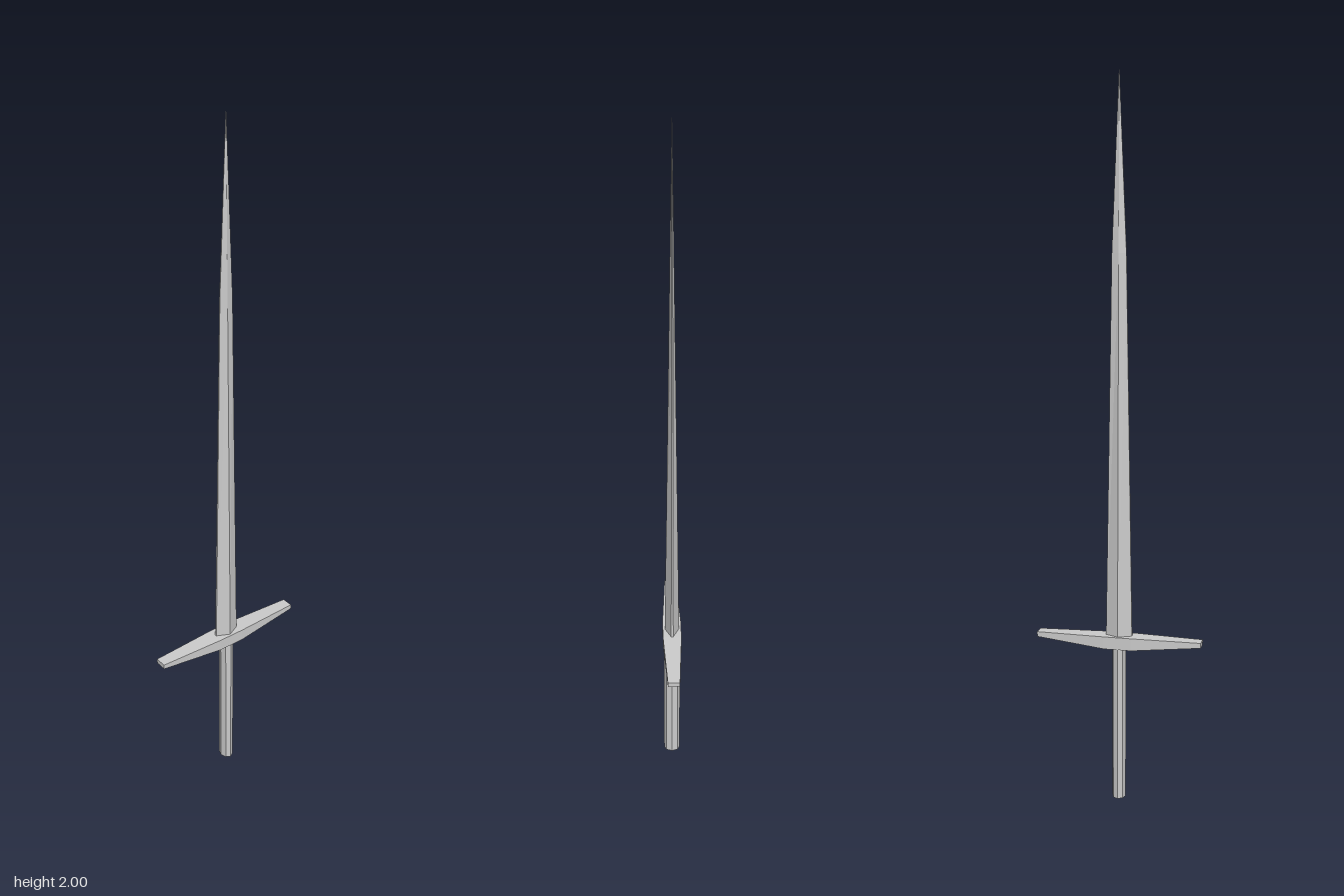
import * as THREE from 'three';

const material = new THREE.MeshStandardMaterial({ color: 0xcccccc, flatShading: true });

// Skin a series of equal-length rings of [x, y, z] points and cap both ends
function loft(name, rings) {
  const n = rings[0].length;
  const index = [];
  for (let i = 0; i < rings.length - 1; i++) {
    for (let j = 0; j < n; j++) {
      const a = i * n + j, b = i * n + (j + 1) % n;
      index.push(a, a + n, b, b, a + n, b + n);
    }
  }
  const last = (rings.length - 1) * n;
  for (let j = 1; j < n - 1; j++) {
    index.push(0, j, j + 1, last, last + j + 1, last + j);
  }
  const geometry = new THREE.BufferGeometry();
  geometry.setAttribute('position', new THREE.Float32BufferAttribute(rings.flat(2), 3));
  geometry.setIndex(index);
  const flat = geometry.toNonIndexed();
  flat.computeVertexNormals();
  const mesh = new THREE.Mesh(flat, material);
  mesh.name = name;
  return mesh;
}

export function createModel() {
  const group = new THREE.Group();
  group.name = 'sword';

  // Blade: diamond section with a narrow flat edge, [y, half width, half depth, half edge]
  const bladeStations = [
    [0.465, 0.037, 0.021, 0.003],
    [1.53, 0.02, 0.007, 0.0015],
    [2.0, 0.0008, 0.0006, 0.0003],
  ];
  group.add(loft('blade', bladeStations.map(([y, w, d, e]) => [
    [w, y, -e], [w, y, e], [0, y, d], [-w, y, e], [-w, y, -e], [0, y, -d],
  ])));

  // Crossguard: thick block in the middle, arms tapering outward, [x, half depth, bottom, top]
  const guardStations = [
    [-0.233, 0.017, 0.46, 0.474],
    [-0.038, 0.027, 0.441, 0.476],
    [0.038, 0.027, 0.441, 0.476],
    [0.233, 0.017, 0.46, 0.474],
  ];
  group.add(loft('crossguard', guardStations.map(([x, d, bottom, top]) => [
    [x, bottom, d], [x, top, d], [x, top, -d], [x, bottom, -d],
  ])));

  // Grip: oval eight-sided bar
  const gripGeometry = new THREE.CylinderGeometry(1, 1, 0.445, 8);
  gripGeometry.scale(0.019, 1, 0.024);
  const grip = new THREE.Mesh(gripGeometry, material);
  grip.name = 'grip';
  grip.position.y = 0.2225;
  group.add(grip);

  return group;
}
